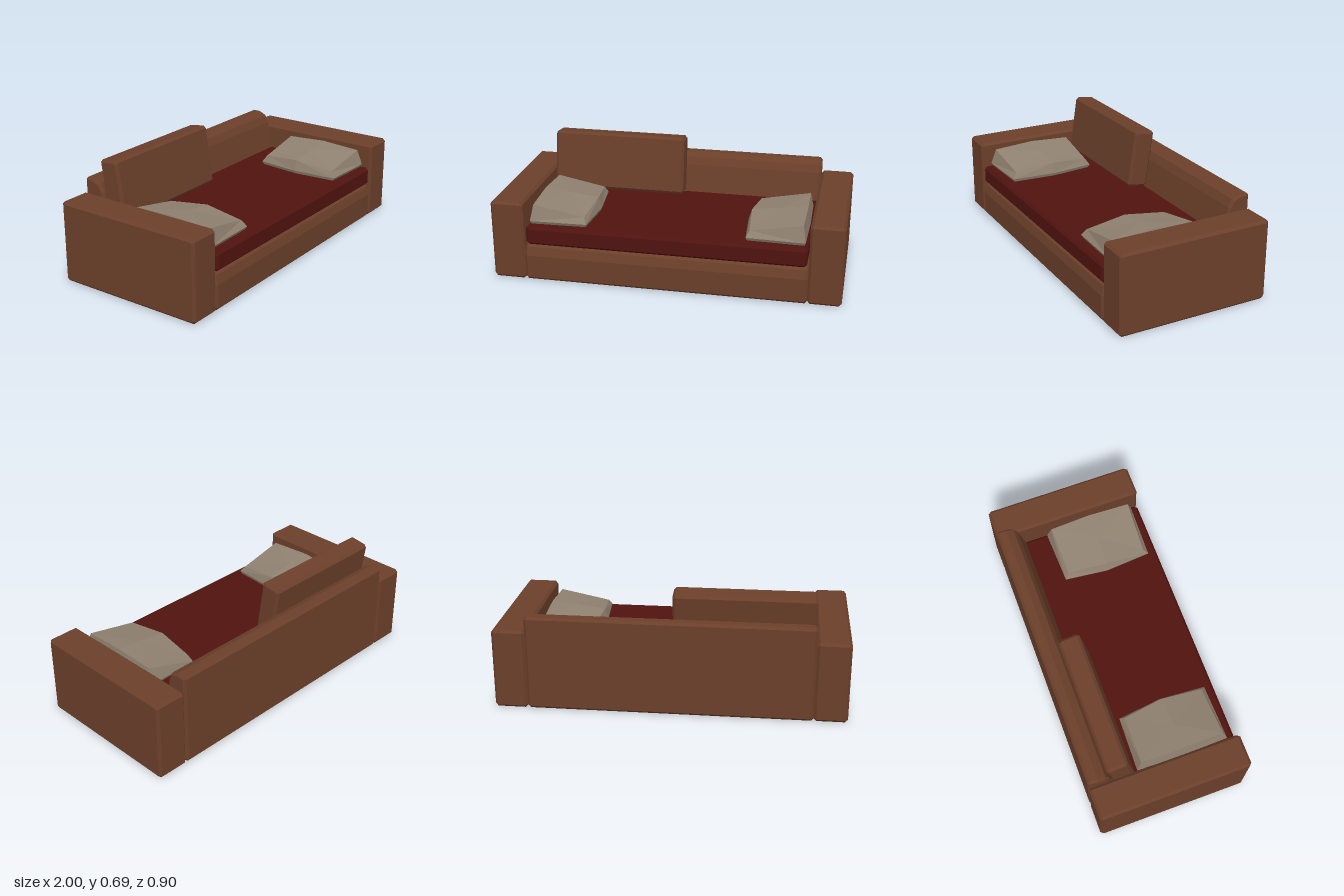
import * as THREE from 'three';

const BROWN = 0x6b3f2a, RED = 0x50130f, BEIGE = 0x8f8170;

function part(name, geometry, color) {
  const material = new THREE.MeshStandardMaterial({ color, flatShading: true });
  const mesh = new THREE.Mesh(geometry, material);
  mesh.name = name;
  return mesh;
}

// Side profile of [z, y] points, run along x and centred, with chamfered ends
function profileAlongX(points, width, bevel) {
  const shape = new THREE.Shape(points.map(([z, y]) => new THREE.Vector2(z, y)));
  const geo = new THREE.ExtrudeGeometry(shape, {
    depth: width - 2 * bevel, bevelEnabled: true, bevelSegments: 1,
    bevelSize: bevel, bevelThickness: bevel, bevelOffset: -bevel,
  });
  geo.translate(0, 0, bevel - width / 2);
  return geo.rotateY(-Math.PI / 2);
}

// Centred box with every edge chamfered
function chamferBox(w, h, d, b) {
  const y = h / 2, z = d / 2;
  return profileAlongX([
    [-z + b, -y], [z - b, -y], [z, -y + b], [z, y - b],
    [z - b, y], [-z + b, y], [-z, y - b], [-z, -y + b],
  ], w, b);
}

// Wedge-shaped faceted pillow: hexagonal rings closed by two centre points
function pillowGeometry(side) {
  const outline = [[0.785, -0.15], [0.465, -0.14], [0.435, 0.12],
    [0.455, 0.39], [0.785, 0.4], [0.79, 0.12]];
  const topHeight = [0.437, 0.385, 0.408, 0.38, 0.437, 0.45];
  const cx = 0.625, cz = 0.125;
  const ring = (scale, height) => outline.map(([x, z], i) => [
    side * (cx + (x - cx) * scale), height(i), cz + (z - cz) * scale]);
  const rings = [
    ring(0.96, () => 0.325),
    ring(1, () => 0.345),
    ring(0.9, (i) => topHeight[i]),
  ];
  const n = outline.length;
  const vertices = rings.flat();
  const index = [];
  const face = (a, b, c) => index.push(...(side > 0 ? [a, b, c] : [a, c, b]));
  for (let r = 0; r < rings.length - 1; r++) {
    for (let i = 0; i < n; i++) {
      const a = r * n + i, b = r * n + (i + 1) % n;
      face(a, a + n, b);
      face(b, a + n, b + n);
    }
  }
  const bottom = vertices.push([side * cx, 0.325, cz]) - 1;
  const top = vertices.push([side * cx, 0.432, cz]) - 1;
  for (let i = 0; i < n; i++) {
    const j = (i + 1) % n;
    face(bottom, i, j);
    face(top, 2 * n + j, 2 * n + i);
  }
  // Make the winding face outwards whichever way the outline runs
  const geo = new THREE.BufferGeometry();
  geo.setAttribute('position', new THREE.Float32BufferAttribute(vertices.flat(), 3));
  const v = (i) => new THREE.Vector3(...vertices[i]);
  const centre = new THREE.Vector3(side * cx, 0.37, cz);
  let volume = 0;
  for (let i = 0; i < index.length; i += 3) {
    const [a, b, c] = [0, 1, 2].map((k) => v(index[i + k]).sub(centre));
    volume += a.dot(b.cross(c));
  }
  geo.setIndex(volume < 0 ? index.reverse() : index);
  geo.computeVertexNormals();
  return geo;
}

export function createModel() {
  const sofa = new THREE.Group();
  sofa.name = 'sofa';

  // Base and rounded backrest in one L-shaped profile
  const frame = [
    [-0.435, 0], [0.435, 0], [0.45, 0.015], [0.45, 0.15], [0.435, 0.2],
    [0.41, 0.22], [-0.262, 0.22], [-0.322, 0.49], [-0.345, 0.535],
    [-0.39, 0.555], [-0.435, 0.555], [-0.45, 0.54], [-0.45, 0.015],
  ];
  sofa.add(part('baseAndBackrest', profileAlongX(frame, 1.62, 0.014), BROWN));

  // Long seat cushion
  const seat = part('seatCushion', chamferBox(1.6, 0.11, 0.75, 0.015), RED);
  seat.position.set(0, 0.272, 0.07);
  sofa.add(seat);

  // Arms and throw pillows, mirrored
  for (const [side, label] of [[1, 'left'], [-1, 'right']]) {
    const arm = part(label + 'Arm', chamferBox(0.19, 0.47, 0.9, 0.015), BROWN);
    arm.position.set(side * 0.905, 0.235, 0);
    sofa.add(arm, part(label + 'Pillow', pillowGeometry(side), BEIGE));
  }

  // Single loose back cushion leaning backwards
  const back = part('backCushion', chamferBox(0.8, 0.347, 0.125, 0.015), BROWN);
  back.position.set(-0.408, 0.511, -0.2535);
  back.rotation.x = -0.145;
  sofa.add(back);

  return sofa;
}
